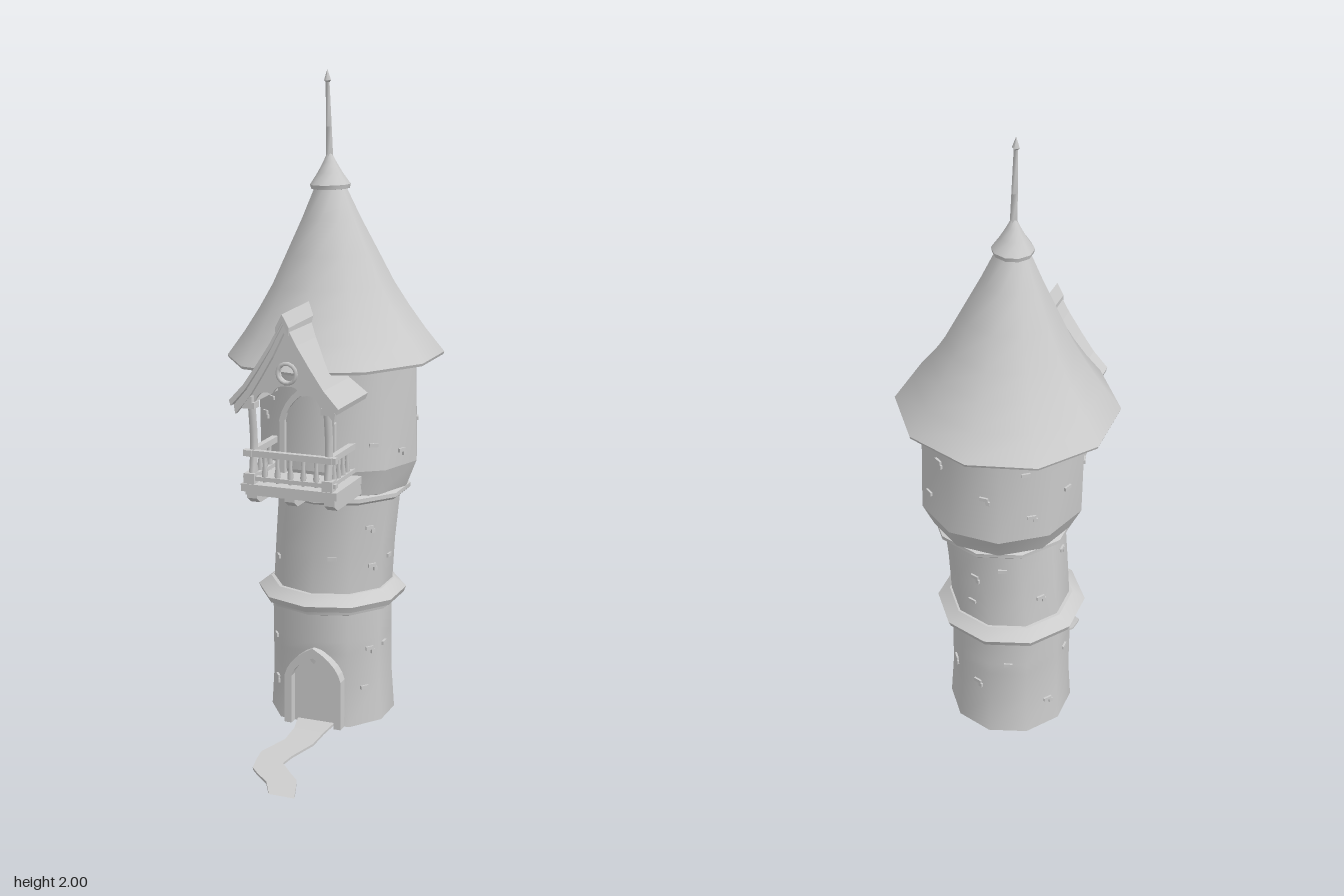
import * as THREE from 'three';

const material = new THREE.MeshStandardMaterial({ color: 0xcccccc, side: THREE.DoubleSide });
const SIDES = 10;

function add(parent, name, geometry, x = 0, y = 0, z = 0) {
  const mesh = new THREE.Mesh(geometry, material);
  mesh.name = name;
  mesh.position.set(x, y, z);
  parent.add(mesh);
  return mesh;
}
const box = (parent, name, w, h, d, x, y, z) => add(parent, name, new THREE.BoxGeometry(w, h, d), x, y, z);

// Skin over a list of closed rings of points
function skin(rings) {
  const n = rings[0].length, index = [];
  for (let r = 0; r < rings.length - 1; r++) {
    for (let i = 0; i < n; i++) {
      const a = r * n + i, b = r * n + (i + 1) % n;
      index.push(a, b, b + n, a, b + n, a + n);
    }
  }
  const geometry = new THREE.BufferGeometry();
  geometry.setAttribute('position', new THREE.Float32BufferAttribute(rings.flat(2), 3));
  geometry.setIndex(index);
  geometry.computeVertexNormals();
  return geometry;
}

// Round loft; rows are [y, centreX, centreZ, radius, frontLimit]
function loft(parent, name, rows, sides = SIDES, phase = 0) {
  const rings = rows.map(([y, cx, cz, r, limit = 9]) => Array.from({ length: sides }, (_, i) => {
    const a = phase + i / sides * Math.PI * 2;
    return [cx + r * Math.sin(a), y, Math.min(limit, cz + r * Math.cos(a))];
  }));
  return add(parent, name, skin(rings));
}
// Loft with a hard edge at every row
function bands(parent, name, rows, sides, phase) {
  const group = new THREE.Group();
  group.name = name;
  for (let i = 0; i < rows.length - 1; i++) loft(group, name + 'Band', rows.slice(i, i + 2), sides, phase);
  parent.add(group);
}

function extrude(shape, depth) {
  return new THREE.ExtrudeGeometry(shape, { depth, bevelEnabled: false, curveSegments: 6 });
}
// Pointed arch, and the frame left between two of them
function archPoints(w, spring, h) {
  const p = new THREE.Path();
  p.moveTo(-w, 0).lineTo(-w, spring).quadraticCurveTo(-w * 0.85, h * 0.6 + spring * 0.4, 0, h);
  p.quadraticCurveTo(w * 0.85, h * 0.6 + spring * 0.4, w, spring).lineTo(w, 0);
  return p.getPoints(5);
}
function archway(parent, name, w, spring, h, t, x, y, z, depth) {
  const outer = archPoints(w, spring, h), inner = archPoints(w - t, spring, h - t * 1.4);
  add(parent, name + 'Frame', extrude(new THREE.Shape([...outer, ...inner.slice().reverse()]), depth), x, y, z);
  add(parent, name + 'Panel', extrude(new THREE.Shape(inner), 0.008), x, y, z);
}
// Folded strip following one half profile, mirrored over the ridge
function foldedRoof(parent, name, half, t, depth, x, z) {
  const top = [...half.slice(1).reverse().map(([a, b]) => [-a, b]), ...half];
  const under = top.map(([a, b]) => [a * 0.97, b - t]).reverse();
  const shape = new THREE.Shape([...top, ...under].map(p => new THREE.Vector2(...p)));
  return add(parent, name, extrude(shape, depth), x, 0, z);
}

const LOWER = [[0.075, -0.005, -0.098, 0.188, 0.055], [0.2, -0.005, -0.096, 0.18, 0.055],
  [0.3, -0.006, -0.095, 0.18, 0.06], [0.34, -0.006, -0.095, 0.18], [0.45, -0.007, -0.095, 0.18]];
const MIDDLE = [[0.48, -0.004, -0.094, 0.179], [0.62, 0.004, -0.094, 0.179], [0.78, 0.017, -0.096, 0.182]];
const UPPER = [[0.873, 0.009, -0.117, 0.241], [1.2, 0.002, -0.117, 0.24]];

function buildTower(g) {
  bands(g, 'foundation', [[0.075, -0.005, -0.098, 0.001, 0.055], LOWER[0]]);
  loft(g, 'lowerTower', LOWER);
  bands(g, 'lowerRing', [[0.425, -0.006, -0.093, 0.178], [0.432, -0.006, -0.093, 0.197], [0.445, -0.006, -0.093, 0.2],
    [0.447, -0.006, -0.093, 0.216], [0.465, -0.006, -0.093, 0.224], [0.492, -0.005, -0.093, 0.187], [0.494, -0.005, -0.093, 0.17]]);
  loft(g, 'middleTower', MIDDLE);
  bands(g, 'upperRing', [[0.765, 0.014, -0.1, 0.178], [0.77, 0.014, -0.102, 0.202], [0.778, 0.014, -0.102, 0.211],
    [0.79, 0.014, -0.103, 0.211], [0.796, 0.014, -0.103, 0.19]]);
  bands(g, 'upperTower', [[0.79, 0.014, -0.108, 0.19], [0.796, 0.014, -0.108, 0.208], ...UPPER], SIDES, Math.PI / 10);

  // Stray bricks: [section, face, height, offset along the face]
  const sections = [[LOWER, 0.5], [MIDDLE, 0.5], [UPPER, 0]];
  const bricks = [[0, 1, 0.19, 0], [0, 1, 0.31, 0.02], [0, 2, 0.31, -0.02], [0, 4, 0.25, 0.01], [0, 5, 0.34, 0], [0, 6, 0.17, 0.02],
    [0, 7, 0.32, 0], [0, 8, 0.19, 0.01], [0, 8, 0.32, 0], [0, 3, 0.26, 0], [1, 0, 0.6, 0], [1, 1, 0.57, 0.02], [1, 2, 0.58, 0],
    [1, 1, 0.69, 0], [1, 4, 0.56, 0], [1, 4, 0.66, 0.02], [1, 5, 0.7, 0], [1, 6, 0.58, 0], [1, 8, 0.57, 0], [1, 7, 0.69, 0.01],
    [2, 1, 0.95, 0.04], [2, 2, 0.92, 0], [2, 3, 0.99, -0.02], [2, 4, 1.09, 0.02], [2, 4, 0.95, -0.03], [2, 5, 1.02, 0.03],
    [2, 6, 1.1, 0], [2, 6, 0.95, 0.02], [2, 7, 1.0, 0], [2, 9, 1.02, -0.04], [2, 9, 1.07, 0], [2, 8, 1.0, 0]];
  bricks.forEach(([s, face, y, u], i) => {
    const [rows, shift] = sections[s];
    const k = Math.max(1, rows.findIndex(row => row[0] > y));
    const t = (y - rows[k - 1][0]) / (rows[k][0] - rows[k - 1][0]);
    const [, cx, cz, r] = rows[k].map((v, j) => THREE.MathUtils.lerp(rows[k - 1][j], v, t));
    const a = (face + shift) * Math.PI / 5, d = r * Math.cos(Math.PI / 10);
    const brick = new THREE.Group();
    brick.name = 'wallBrick';
    brick.position.set(cx + d * Math.sin(a), y, cz + d * Math.cos(a));
    brick.rotation.y = a;
    box(brick, 'brick', 0.026, 0.011, 0.012, u, 0, 0);
    if (i % 2) box(brick, 'brickStep', 0.012, 0.012, 0.012, u + 0.012, -0.011, 0);
    g.add(brick);
  });
}

function buildRoof(g) {
  // Slightly tilted bell roof with finial
  const roof = new THREE.Group();
  roof.name = 'mainRoof';
  roof.position.set(0, 1.18, -0.1);
  roof.rotation.z = 0.03;
  g.add(roof);
  bands(roof, 'eaves', [[0.012, 0, 0, 0.2], [-0.008, 0, 0, 0.317], [0, 0, 0, 0.32]]);
  loft(roof, 'roofSlope', [[0, 0, 0, 0.32], [0.07, 0, 0, 0.267], [0.14, 0, 0, 0.22], [0.21, 0, 0.001, 0.178],
    [0.3, 0, 0.002, 0.134], [0.4, 0, 0.004, 0.085], [0.49, 0, 0.005, 0.045]]);
  bands(roof, 'capRim', [[0.482, 0, 0.005, 0.04], [0.484, 0, 0.005, 0.056], [0.496, 0, 0.005, 0.059]]);
  loft(roof, 'capCone', [[0.496, 0, 0.005, 0.059], [0.53, 0, 0.005, 0.036], [0.56, 0, 0.005, 0.019], [0.585, 0, 0.005, 0.007]]);
  bands(roof, 'spire', [[0.57, 0, 0.005, 0.011], [0.66, 0, 0.005, 0.009], [0.785, 0, 0.005, 0.006],
    [0.79, 0, 0.005, 0.011], [0.82, 0, 0.005, 0.0005]], 4);
}

function buildBalcony(g) {
  const b = new THREE.Group();
  b.name = 'balcony';
  g.add(b);
  archway(b, 'balconyDoor', 0.085, 0.16, 0.27, 0.016, 0, 0.86, 0.1, 0.025);
  // Floor and supporting beams
  box(b, 'floor', 0.29, 0.022, 0.2, 0.005, 0.852, 0.175);
  box(b, 'floorEdge', 0.27, 0.014, 0.18, 0.005, 0.836, 0.175);
  for (const x of [-0.11, 0.005, 0.125]) {
    const side = new THREE.Shape([[0.02, 0.84], [0.265, 0.84], [0.265, 0.82], [0.24, 0.803], [0.02, 0.803]].map(p => new THREE.Vector2(...p)));
    add(b, 'floorBeam', extrude(side, 0.03), x + 0.015, 0, 0).rotation.y = -Math.PI / 2;
  }
  // Railings with balusters
  for (const [y, h] of [[0.95, 0.018], [0.878, 0.012]]) {
    box(b, 'frontRail', 0.28, h, 0.018, 0.003, y, 0.255);
    for (const x of [-0.118, 0.122]) box(b, 'sideRail', 0.018, h, 0.19, x, y, 0.172);
  }
  const baluster = (x, z) => add(b, 'baluster', new THREE.LatheGeometry(
    [[0.005, 0], [0.009, 0.025], [0.005, 0.05], [0.007, 0.08]].map(p => new THREE.Vector2(...p)), 6), x, 0.868, z);
  for (let i = 0; i < 5; i++) baluster(-0.074 + i * 0.039, 0.255);
  for (const x of [-0.118, 0.122]) for (let i = 0; i < 4; i++) baluster(x, 0.12 + i * 0.034);
  // Bowed posts with feet and heads, plus side beams
  for (const s of [-1, 1]) {
    const x = 0.002 + s * 0.118;
    const bow = new THREE.CatmullRomCurve3([[0.86, 0.258], [0.97, 0.243], [1.1, 0.258]].map(([y, z]) => new THREE.Vector3(x - s * 0.004, y, z)));
    add(b, 'post', new THREE.TubeGeometry(bow, 6, 0.012, 6));
    box(b, 'postFoot', 0.032, 0.03, 0.032, x, 0.878, 0.256);
    box(b, 'postHead', 0.036, 0.018, 0.034, x, 1.09, 0.256);
    box(b, 'sideBeam', 0.024, 0.02, 0.22, x, 1.107, 0.165);
  }
  // Gable board with scalloped arch and round window
  const gable = new THREE.Shape();
  gable.moveTo(-0.14, 1.1).lineTo(0, 1.31).lineTo(0.14, 1.1).lineTo(0.1, 1.095);
  gable.quadraticCurveTo(0.085, 1.14, 0.045, 1.125).quadraticCurveTo(0.03, 1.155, 0, 1.15);
  gable.quadraticCurveTo(-0.03, 1.155, -0.045, 1.125).quadraticCurveTo(-0.085, 1.14, -0.1, 1.095);
  const hole = new THREE.Path();
  hole.absarc(0, 1.187, 0.024, 0, Math.PI * 2, true);
  gable.holes.push(hole);
  add(b, 'gableBoard', extrude(gable, 0.014), -0.004, 0, 0.245);
  add(b, 'gableRing', new THREE.TorusGeometry(0.028, 0.006, 5, 14), -0.004, 1.187, 0.26);
  // Folded roof, barge boards and ridge cap
  const slope = [[0, 1.345], [0.04, 1.272], [0.08, 1.21], [0.12, 1.152], [0.164, 1.104]];
  foldedRoof(b, 'balconyRoof', slope, 0.016, 0.245, -0.005, 0.04);
  foldedRoof(b, 'bargeBoard', slope.map(([x, y]) => [x * 0.93, y - 0.014]), 0.026, 0.016, -0.005, 0.262);
  const ridge = foldedRoof(b, 'ridgeCap', [[0, 1.362], [0.02, 1.325]], 0.022, 0.24, -0.005, 0.05);
  ridge.rotation.x = 0.03;
  ridge.position.y = 0.004;
  ridge.position.z = 0.01;
}

function buildEntrance(g) {
  archway(g, 'door', 0.09, 0.15, 0.245, 0.022, 0, 0.075, 0.05, 0.035);
  // Winding path down from the door: [z, left, right, y]
  const path = [[0.05, -0.06, 0.06, 0.083], [0.13, -0.04, 0.055, 0.081], [0.2, -0.04, 0.05, 0.073], [0.275, -0.083, 0.013, 0.059],
    [0.31, -0.083, 0, 0.05], [0.345, -0.08, 0.04, 0.038], [0.362, -0.058, 0.064, 0.031], [0.385, -0.02, 0.072, 0.021], [0.416, 0, 0.08, 0.007]];
  const rings = path.map(([z, l, r, y]) => [[r, y, z], [l, y, z], [l, y - 0.007, z], [r, y - 0.007, z]]);
  const geometry = skin(rings).toNonIndexed();
  geometry.computeVertexNormals();
  add(g, 'path', geometry);
}

export function createModel() {
  const model = new THREE.Group();
  model.name = 'tower';
  buildTower(model);
  buildRoof(model);
  buildBalcony(model);
  buildEntrance(model);
  return model;
}
